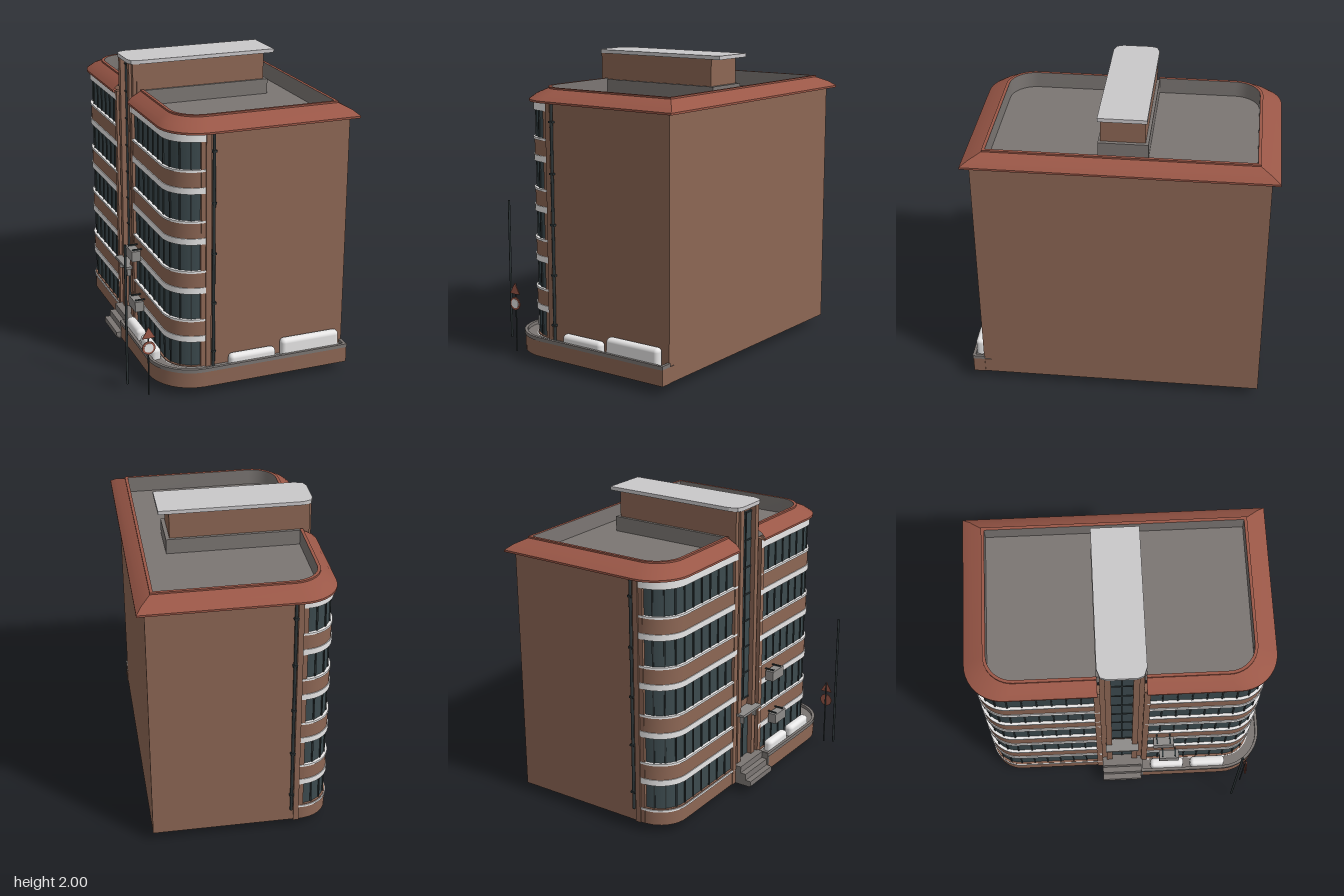
import * as THREE from 'three';
import { toCreasedNormals } from 'three/addons/utils/BufferGeometryUtils.js';
import { RoundedBoxGeometry } from 'three/addons/geometries/RoundedBoxGeometry.js';

const ZC = -0.015; // mirror plane between the two wings

const mat = (name, color, side = THREE.FrontSide) => {
  const m = new THREE.MeshStandardMaterial({ color, side });
  m.name = name;
  return m;
};

// Plan path: along the facade from zs to a rounded corner, then along z1 to xe
function path(x0, zs, z1, r, xe) {
  const pts = [[x0, zs]];
  for (let i = 0; i <= 10; i++) {
    const a = (i / 10) * Math.PI / 2;
    pts.push([x0 + r - r * Math.cos(a), z1 - r + r * Math.sin(a)]);
  }
  pts.push([xe, z1]);
  return pts;
}
const mirror = (pts) => pts.map(([x, z]) => [x, 2 * ZC - z]).reverse();
const around = (x0, x1, half, r) => {
  const p = path(x0, ZC + 0.155, ZC + half, r, x1);
  return [...p, ...mirror(p)];
};

// Skin between plan paths placed at given heights
function loft(rings) {
  const n = rings[0][0].length, pos = [], idx = [];
  for (const [pts, y] of rings) for (const [x, z] of pts) pos.push(x, y, z);
  for (let j = 0; j < rings.length - 1; j++)
    for (let i = 0; i < n - 1; i++) {
      const a = j * n + i, b = a + 1, c = a + n, d = b + n;
      idx.push(a, b, d, a, d, c);
    }
  const g = new THREE.BufferGeometry();
  g.setAttribute('position', new THREE.Float32BufferAttribute(pos, 3));
  g.setIndex(idx);
  return toCreasedNormals(g, 0.5);
}

export function createModel() {
  const D = THREE.DoubleSide;
  const brick = mat('brick', 0x8c6654, D);
  const tile = mat('red tile', 0x9a5747, D);
  const white = mat('white', 0xe8e7e7, D);
  const concrete = mat('pale concrete', 0xcac8ca);
  const roofGrey = mat('roof grey', 0x7b7673, D);
  const glass = mat('dark glass', 0x3c4a4e, D);
  const metal = mat('dark metal', 0x2e3638);
  const unitGrey = mat('unit grey', 0x8d8b89);

  const model = new THREE.Group();
  const group = (name) => {
    const g = new THREE.Group();
    g.name = name;
    model.add(g);
    return g;
  };
  const add = (name, geo, m, parent = model) => {
    const mesh = new THREE.Mesh(geo, m);
    mesh.name = name;
    parent.add(mesh);
    return mesh;
  };
  // Box from its limits on each axis
  const box = (name, x0, x1, y0, y1, z0, z1, m, parent) => {
    const g = new THREE.BoxGeometry(x1 - x0, y1 - y0, z1 - z0);
    g.translate((x0 + x1) / 2, (y0 + y1) / 2, (z0 + z1) / 2);
    return add(name, g, m, parent);
  };
  const rod = (name, x, z, y0, y1, r, m, parent) =>
    add(name, new THREE.CylinderGeometry(r, r, y1 - y0, 10).translate(x, (y0 + y1) / 2, z), m, parent);

  // Plain walls on three sides
  const zF = 0.92, zB = 2 * ZC - zF;
  const wallPlan = [[-0.24, zF], [0.695, zF], [0.695, zB], [-0.24, zB]];
  add('plainWalls', loft([[wallPlan, 0.06], [wallPlan, 1.73]]), brick);

  // Two wings with curved window bands
  for (const s of [1, -1]) {
    const wing = group(s > 0 ? 'frontWing' : 'backWing');
    const at = (off) => {
      const p = path(-0.47 - off, 0.13, 0.905 + off, 0.18 + off, -0.27);
      return s > 0 ? p : mirror(p);
    };
    const band = (name, off, y0, y1, m) => add(name, loft([
      [at(-0.01), y0], [at(off), y0], [at(off), y1], [at(-0.01), y1]]), m, wing);
    add('glazing', loft([[at(0), 0.17], [at(0), 1.7]]), glass, wing);
    band('plinth', 0.014, 0.06, 0.175, brick);
    for (let f = 0; f < 5; f++) {
      const top = 0.345 + f * 0.33;
      band('sill', 0.02, top - 0.19, top - 0.176, white);
      band('lintel', 0.02, top, top + (f < 4 ? 0.04 : 0.055), white);
      if (f < 4) band('spandrel', 0.014, top + 0.04, top + 0.14, brick);
    }
    // Mullions along the straight run and round the corner
    const mullion = (x, z, turn) => {
      const m = add('mullion', new THREE.BoxGeometry(0.014, 1.52, 0.01), metal, wing);
      m.position.set(x, 0.935, s > 0 ? z : 2 * ZC - z);
      m.rotation.y = s * turn;
    };
    for (let i = 1; i <= 6; i++) mullion(-0.47, 0.15 + i * 0.095, 0);
    for (const a of [0.4, 0.8, 1.2])
      mullion(-0.29 - 0.18 * Math.cos(a), 0.725 + 0.18 * Math.sin(a), a);

    // Stepped pilasters beside the bands, and a rainwater pipe
    const slab = (name, x0, x1, y0, y1, z0, z1, m) => s > 0
      ? box(name, x0, x1, y0, y1, z0, z1, m, wing)
      : box(name, x0, x1, y0, y1, 2 * ZC - z1, 2 * ZC - z0, m, wing);
    slab('cornerPilaster', -0.3, -0.265, 0.06, 1.73, 0.88, 0.922, brick);
    slab('cornerPilaster', -0.27, -0.235, 0.06, 1.73, 0.88, 0.932, brick);
    slab('entrancePilaster', -0.49, -0.43, 0.06, 1.73, 0.125, 0.165, brick);
    const pz = s > 0 ? 0.932 : 2 * ZC - 0.932;
    rod('drainpipe', -0.22, pz, 0.15, 1.73, 0.01, metal, wing);
    for (let i = 0; i < 5; i++)
      box('pipeClamp', -0.235, -0.205, 0.265 + i * 0.333, 0.277 + i * 0.333, pz - 0.013, pz + 0.013, metal, wing);
  }

  // Roof: tiled cornice, parapet and floor
  const roof = group('roof');
  const inner = around(-0.4, 0.63, 0.84, 0.17);
  add('cornice', loft([
    [around(-0.46, 0.69, 0.92, 0.2), 1.72],
    [around(-0.51, 0.745, 0.985, 0.25), 1.72],
    [around(-0.51, 0.745, 0.985, 0.25), 1.733],
    [around(-0.48, 0.71, 0.935, 0.23), 1.765],
    [around(-0.42, 0.65, 0.86, 0.19), 1.797],
    [around(-0.42, 0.65, 0.86, 0.19), 1.808],
    [inner, 1.808]]), tile, roof);
  add('parapetInside', loft([[inner, 1.808], [inner, 1.7]]), roofGrey, roof);
  const floor = new THREE.Shape(inner.map(([x, z]) => new THREE.Vector2(x, -z)));
  add('roofFloor', new THREE.ShapeGeometry(floor).rotateX(-Math.PI / 2).translate(0, 1.7, 0), roofGrey, roof);
  box('towerUpturn', -0.4, 0.475, 1.69, 1.8, -0.175, 0.145, roofGrey, roof);

  // Stair tower
  const tower = group('stairTower');
  box('towerBody', -0.44, 0.45, 0.063, 1.975, -0.155, 0.13, brick, tower);
  box('towerBase', -0.6, 0.45, 0.057, 0.063, -0.155, 0.125, roofGrey, tower);
  for (const [z0, z1] of [[-0.155, -0.085], [0.055, 0.125]]) {
    box('towerPost', -0.465, -0.43, 0.06, 1.975, z0, z1, brick, tower);
    const zi = z0 < 0 ? z1 - 0.02 : z0 + 0.02;
    box('towerRib', -0.482, -0.46, 0.06, 1.975, zi - 0.02, zi + 0.02, brick, tower);
  }
  box('stairGlass', -0.449, -0.44, 0.62, 1.94, -0.085, 0.055, glass, tower);
  box('stairMullion', -0.456, -0.445, 0.62, 1.94, -0.02, -0.01, metal, tower);
  for (let i = 0; i < 8; i++)
    box('stairTransom', -0.454, -0.445, 0.62 + i * 0.187, 0.63 + i * 0.187, -0.085, 0.055, metal, tower);
  const cap = new THREE.Shape([[-0.49, -0.08], [-0.475, -0.12], [-0.42, -0.14], [0.52, -0.14],
    [0.52, 0.17], [-0.42, 0.17], [-0.475, 0.15], [-0.49, 0.11]].map(([x, y]) => new THREE.Vector2(x, y)));
  add('towerCap', new THREE.ExtrudeGeometry(cap, { depth: 0.025, bevelEnabled: false })
    .rotateX(-Math.PI / 2).translate(0, 1.975, 0), concrete, tower);

  // Entrance: door, canopy and steps
  const entrance = group('entrance');
  box('door', -0.449, -0.44, 0.19, 0.47, -0.085, 0.055, glass, entrance);
  box('doorFrame', -0.455, -0.445, 0.19, 0.47, -0.02, -0.01, metal, entrance);
  box('canopy', -0.53, -0.44, 0.545, 0.562, -0.13, 0.1, unitGrey, entrance);
  for (const z of [-0.1, 0.06]) box('canopyBracket', -0.51, -0.44, 0.485, 0.545, z, z + 0.012, unitGrey, entrance);
  [[-0.61, 0.1], [-0.57, 0.145], [-0.53, 0.19]].forEach(([x, y]) =>
    box('step', x, -0.43, 0.064, y, -0.157, 0.122, roofGrey, entrance));

  // Raised planter wrapping the front corner
  const planter = group('planter');
  const edge = (d) => path(-0.585 + d, 0.125, 1 - d, 0.29 - d, 0.7);
  add('planterWall', loft([[edge(0.006), 0.06], [edge(0.006), 0.168]]), brick, planter);
  add('planterBed', loft([[edge(0.006), 0.168], [edge(0.13), 0.168]]), roofGrey, planter);
  add('planterRim', loft([[edge(0.006), 0.166], [edge(0), 0.166], [edge(0), 0.19],
    [edge(0.02), 0.19], [edge(0.02), 0.166]]), roofGrey, planter);
  box('planterEnd', 0.685, 0.699, 0.06, 0.167, 0.915, 0.993, brick, planter);
  box('planterEndRim', 0.68, 0.7, 0.167, 0.19, 0.915, 0.995, roofGrey, planter);
  box('planterSideEnd', -0.58, -0.48, 0.06, 0.19, 0.122, 0.135, roofGrey, planter);
  const bush = (x0, x1, h, z0, z1) => add('bush',
    new RoundedBoxGeometry(x1 - x0, h - 0.14, z1 - z0, 4, 0.028)
      .translate((x0 + x1) / 2, (h + 0.14) / 2, (z0 + z1) / 2), white, planter);
  bush(-0.12, 0.2, 0.24, 0.918, 0.98);
  bush(0.24, 0.65, 0.285, 0.918, 0.982);
  bush(-0.563, -0.497, 0.245, 0.19, 0.43);
  bush(-0.563, -0.497, 0.245, 0.48, 0.73);

  // Wall-mounted air units
  const units = group('airUnits');
  for (const [y, z] of [[0.7, 0.2], [0.36, 0.25]]) {
    box('airUnit', -0.56, -0.5, y, y + 0.07, z, z + 0.14, unitGrey, units);
    for (const dz of [0.02, 0.11])
      box('unitBracket', -0.55, -0.465, y + 0.07, y + 0.078, z + dz, z + dz + 0.01, metal, units);
  }

  // Street pole and sign post
  const street = group('streetFurniture');
  rod('lampPole', -0.747, 0.78, 0.06, 1.015, 0.008, metal, street);
  rod('signPost', -0.63, 0.857, 0, 0.47, 0.005, metal, street);
  add('warningTriangle', new THREE.CylinderGeometry(0.05, 0.05, 0.006, 3)
    .rotateX(-Math.PI / 2).translate(-0.63, 0.425, 0.865), tile, street);
  add('roundSign', new THREE.CylinderGeometry(0.044, 0.044, 0.006, 24)
    .rotateX(Math.PI / 2).translate(-0.63, 0.333, 0.865), tile, street);
  add('roundSignFace', new THREE.CylinderGeometry(0.031, 0.031, 0.003, 24)
    .rotateX(Math.PI / 2).translate(-0.63, 0.333, 0.869), white, street);

  return model;
}
